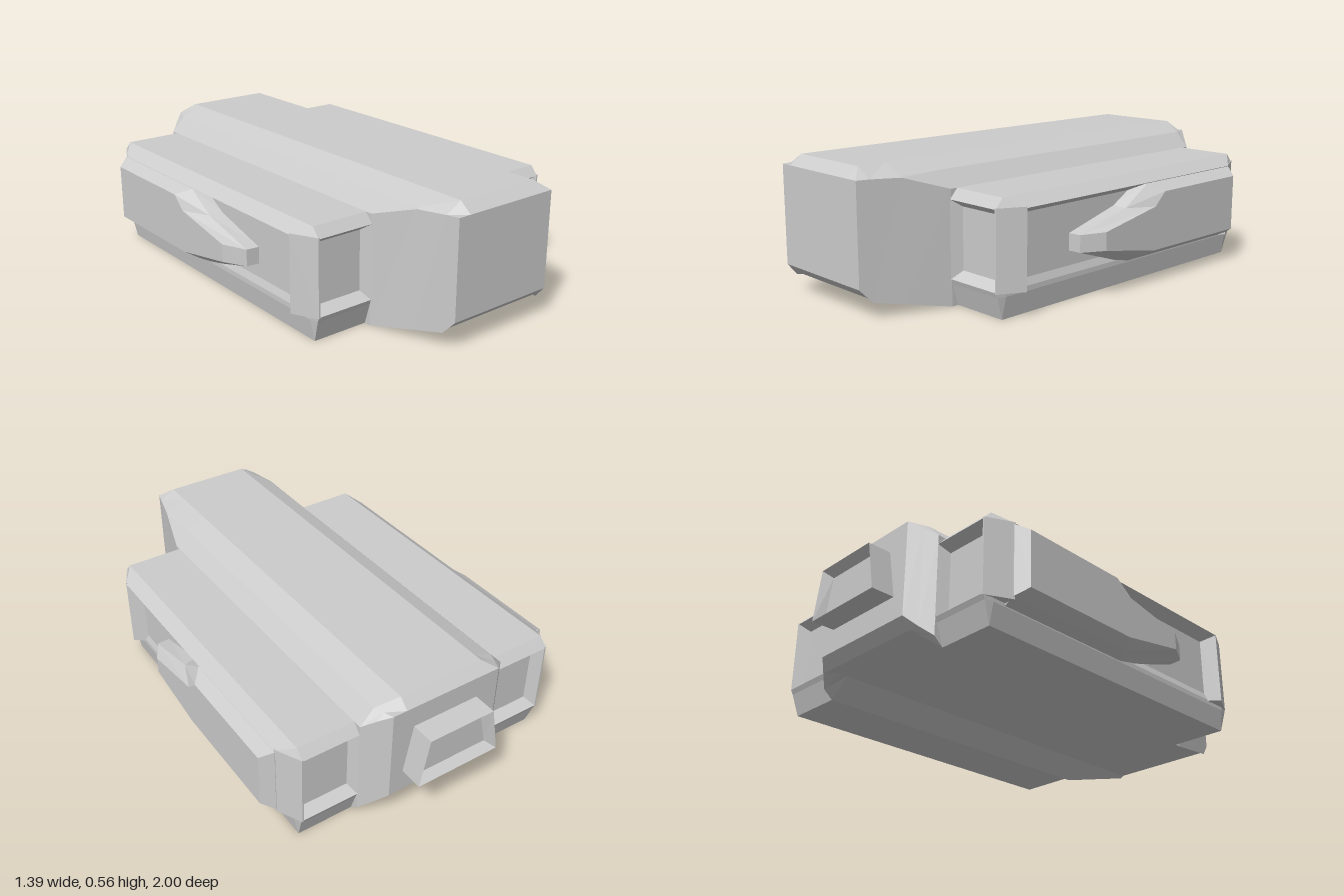
import * as THREE from 'three';

const material = new THREE.MeshStandardMaterial({ color: 0xcccccc, flatShading: true, side: THREE.DoubleSide });

// Closed, faceted solid through rings of equal point count; winding is fixed by signed volume
function loft(name, rings) {
  const tris = [];
  const n = rings[0].length;
  for (let r = 0; r < rings.length - 1; r++) {
    for (let i = 0; i < n; i++) {
      const j = (i + 1) % n;
      const a = rings[r][i], b = rings[r][j], c = rings[r + 1][j], d = rings[r + 1][i];
      tris.push([a, b, c], [a, c, d]);
    }
  }
  const cap = (ring, flip) => {
    const mid = ring.reduce((s, p) => s.add(p), new THREE.Vector3()).divideScalar(n);
    ring.forEach((p, i) => {
      const q = ring[(i + 1) % n];
      tris.push(flip ? [mid, q, p] : [mid, p, q]);
    });
  };
  cap(rings[0], true);
  cap(rings[rings.length - 1], false);
  const area = ([a, b, c]) => b.clone().sub(a).cross(c.clone().sub(a)).length();
  const solid = tris.filter((t) => area(t) > 1e-7);
  const volume = solid.reduce((s, [a, b, c]) => s + a.dot(b.clone().cross(c)), 0);
  const points = solid.flatMap(([a, b, c]) => (volume < 0 ? [a, c, b] : [a, b, c]));
  const geometry = new THREE.BufferGeometry().setFromPoints(points);
  geometry.computeVertexNormals();
  const mesh = new THREE.Mesh(geometry, material);
  mesh.name = name;
  return mesh;
}

const v = (x, y, z) => new THREE.Vector3(x, y, z);

// Central hull: half sections [belly, lower side, upper side, shoulder, roof] along z
function makeHull() {
  const sections = [
    [1, [.245, .12], [.245, .12], [.245, .525], [.245, .525], [.19, .525]],
    [.95, [.245, .075], [.258, .065], [.258, .525], [.258, .525], [.19, .565]],
    [.83, [.245, .075], [.29, .04], [.288, .52], [.28, .525], [.19, .565]],
    [.64, [.245, .075], [.34, 0], [.34, .46], [.28, .525], [.19, .565]],
    [-.78, [.245, .075], [.34, 0], [.34, .46], [.28, .525], [.19, .565]],
    [-.82, [.245, .075], [.34, .035], [.34, .46], [.28, .525], [.19, .565]],
    [-.86, [.245, .075], [.295, .075], [.295, .495], [.265, .525], [.19, .565]],
    [-.9, [.245, .12], [.25, .12], [.25, .525], [.25, .525], [.19, .525]],
  ];
  return loft('hull', sections.map(([z, ...half]) => [
    ...half.map(([x, y]) => v(x, y, z)),
    ...half.slice().reverse().map(([x, y]) => v(-x, y, z)),
  ]));
}

// Rear vent: tapered frame whose walls slope in to a sunken panel
function makeVent() {
  const ring = (z, inset) => [
    v(-.19 + inset * 1.2, .22 + inset, z), v(.19 - inset * 1.2, .22 + inset, z),
    v(.15 - inset, .43 - inset, z), v(-.15 + inset, .43 - inset, z),
  ];
  return loft('rearVent', [ring(-.88, 0), ring(-1, 0), ring(-.965, .03)]);
}

function makePod(side, name) {
  const pod = new THREE.Group();
  pod.name = name;
  const p = (x, y, z) => v(side * x, y, z);

  // Body: levels [y, corner x, outer x, chamfer length, front z, back z], waisted into recesses
  const levels = [
    [0, .585, .585, 0, .61, -.78],
    [.09, .592, .6, .035, .638, -.81],
    [.11, .592, .6, .035, .645, -.82],
    [.14, .56, .59, .1, .6, -.775],
    [.39, .56, .59, .1, .6, -.775],
    [.42, .59, .645, .105, .645, -.82],
    [.46, .59, .59, 0, .61, -.785],
  ];
  pod.add(loft('podBody', levels.map(([y, cx, x, ch, zf, zb]) => [
    p(.34, y, zf), p(cx, y, zf), p(x, y, zf - ch),
    p(x, y, zb + ch), p(cx, y, zb), p(.34, y, zb),
  ])));

  // Posts framing the end recesses
  for (const end of [1, -1]) {
    const z = (d) => (end > 0 ? .645 - d : -.82 + d);
    const post = (postName, plan, y0, y1) => pod.add(loft(postName,
      [y0, y1].map((y) => plan.map(([x, d]) => p(x, y, z(d))))));
    post('cornerPost', [[.555, .05], [.585, 0], [.592, 0], [.645, .105], [.585, .155]], .105, .425);
    post('innerPost', [[.34, 0], [.34, .05], [.363, .05]], .1, .425);
  }

  // Side blister: outlines [z, y] stacked outward, pointed at the front
  const outer = [[.16, .2], [.16, .275], [-.14, .33], [-.2, .385], [-.685, .385], [-.685, .147], [-.14, .147]];
  const middle = [[.255, .2], [.255, .27], [-.01, .335], [-.14, .415], [-.72, .415], [-.72, .117], [-.11, .117]];
  const base = [[.26, .2], [.26, .27], [0, .34], [-.14, .42], [-.72, .42], [-.72, .088], [-.08, .088]];
  pod.add(loft('sideBlister', [[.585, base], [.645, middle], [.695, outer]].map(
    ([x, outline]) => outline.map(([z, y]) => p(x, y, z)))));
  return pod;
}

export function createModel() {
  const model = new THREE.Group();
  model.name = 'model';
  model.add(makeHull(), makeVent(), makePod(1, 'leftPod'), makePod(-1, 'rightPod'));
  return model;
}
